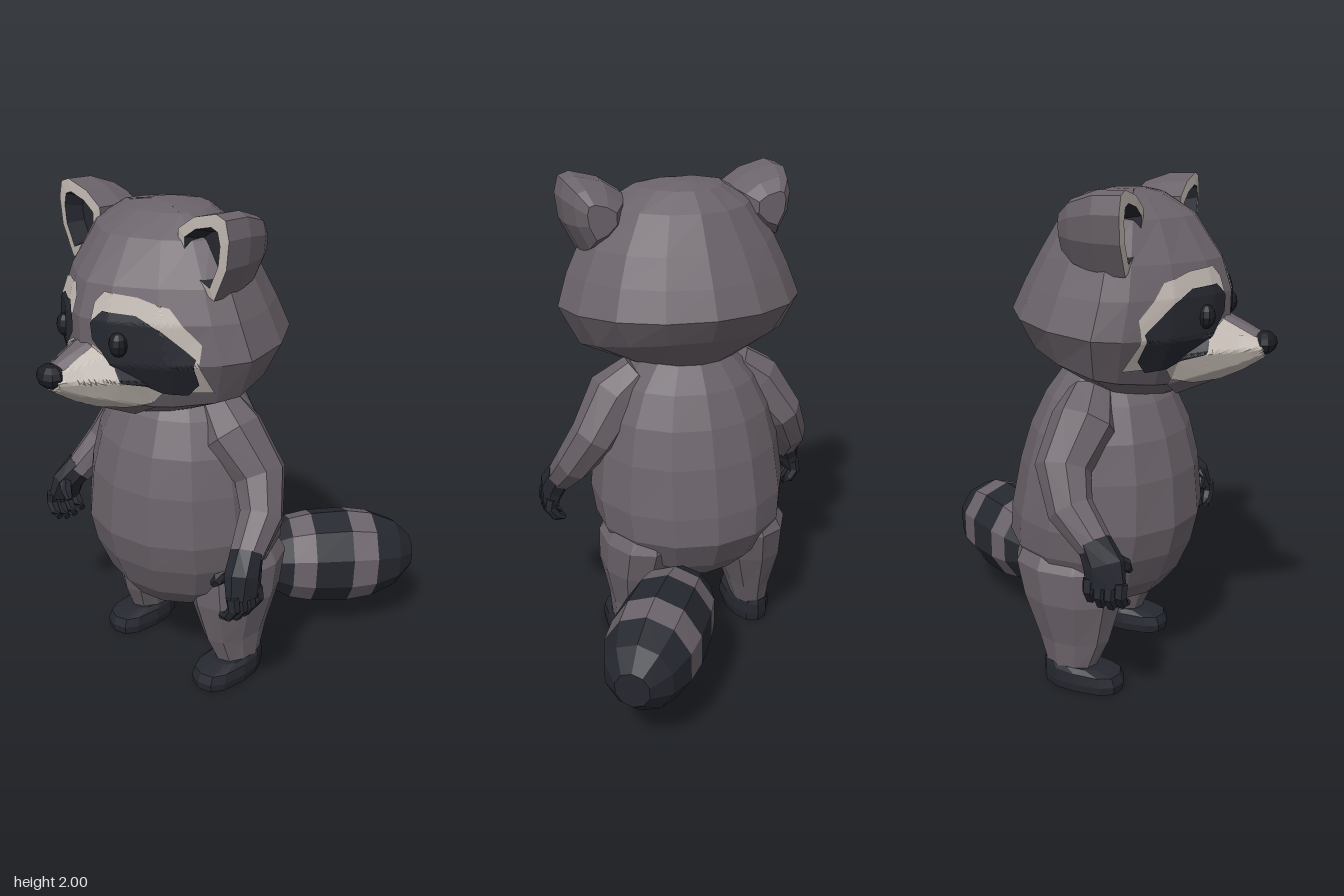
import * as THREE from 'three';

const mat = (name, color) => {
  const m = new THREE.MeshStandardMaterial({ color });
  m.name = name;
  return m;
};
const V = (p) => new THREE.Vector3(...p);
const spow = (v, e) => Math.sign(v) * Math.abs(v) ** e;

// Closed, faceted skin over rings of points; bands[i] is the material index between ring i and i+1
function loft(rings, bands = []) {
  const tris = [];
  const n = rings[0].length;
  const centre = (r) => [0, 1, 2].map((k) => r.reduce((s, p) => s + p[k], 0) / n);
  const c0 = centre(rings[0]), c1 = centre(rings.at(-1));
  const add = (m, a, b, c) => tris.push({ m: m ?? 0, t: [a, b, c] });
  for (let j = 0; j < n; j++) {
    const k = (j + 1) % n;
    add(bands[0], c0, rings[0][k], rings[0][j]);
    for (let i = 0; i + 1 < rings.length; i++) {
      const [a, b] = [rings[i], rings[i + 1]];
      add(bands[i], a[j], a[k], b[k]);
      add(bands[i], a[j], b[k], b[j]);
    }
    add(bands.at(-1), c1, rings.at(-1)[j], rings.at(-1)[k]);
  }
  // Turn the skin outward whichever way the rings run
  const o = V(c0);
  const vol = tris.reduce((s, { t }) => {
    const [a, b, c] = t.map((p) => V(p).sub(o));
    return s + a.dot(b.cross(c));
  }, 0);
  tris.sort((p, q) => p.m - q.m);
  const pos = tris.flatMap(({ t }) => (vol < 0 ? [t[0], t[2], t[1]] : t).flat());
  const geo = new THREE.BufferGeometry();
  geo.setAttribute('position', new THREE.Float32BufferAttribute(pos, 3));
  tris.forEach(({ m }, i) => {
    const g = geo.groups.at(-1);
    if (g && g.materialIndex === m) g.count += 3;
    else geo.addGroup(i * 3, 3, m);
  });
  geo.computeVertexNormals();
  return geo;
}

// Level ring: half width w, front and back z, front and back height
function level(n, w, zf, zb, yf, yb = yf, cx = 0, zc = (zf + zb) / 2, e = 1) {
  return Array.from({ length: n }, (_, i) => {
    const a = (i / n) * Math.PI * 2, s = Math.sin(a), c = Math.cos(a);
    const x = cx + w * (c > 0 ? spow(s, e) : s);
    const z = c > 0 ? zc + (zf - zc) * c ** e : zc + (zc - zb) * c;
    return [x, yb + ((yf - yb) * (z - zb)) / (zf - zb), z];
  });
}

// Rings square to a path; each point is [x, y, z, radius, second radius]
function limb(path, n = 8, sx = 1) {
  const pts = path.map(([x, y, z]) => V([x * sx, y, z]));
  return path.map(([, , , r, r2 = r], i) => {
    const dir = pts[Math.min(i + 1, pts.length - 1)].clone().sub(pts[Math.max(i - 1, 0)]).normalize();
    const ref = Math.abs(dir.y) > 0.6 ? V([0, 0, 1]) : V([0, 1, 0]);
    const u = dir.clone().cross(ref).normalize(), v = u.clone().cross(dir);
    return Array.from({ length: n }, (_, j) => {
      const a = ((j + 0.5) / n) * Math.PI * 2;
      return pts[i].clone().addScaledVector(u, r * Math.cos(a)).addScaledVector(v, r2 * Math.sin(a)).toArray();
    });
  });
}

// Thin painted patch: a flat outline split finely and laid on the targets from the front
function patch(outline, sx, lift, targets) {
  const flat = new THREE.ShapeGeometry(
    new THREE.Shape(outline.map(([x, y]) => new THREE.Vector2(x * sx, y)))).toNonIndexed();
  const p = flat.attributes.position;
  let tris = [];
  for (let i = 0; i < p.count; i += 3) tris.push([0, 1, 2].map((k) => new THREE.Vector3().fromBufferAttribute(p, i + k)));
  for (let s = 0; s < 4; s++) {
    tris = tris.flatMap(([a, b, c]) => {
      const ab = a.clone().lerp(b, 0.5), bc = b.clone().lerp(c, 0.5), ca = c.clone().lerp(a, 0.5);
      return [[a, ab, ca], [ab, b, bc], [ca, bc, c], [ab, bc, ca]];
    });
  }
  const ray = new THREE.Raycaster(), down = V([0, 0, -1]), seen = new Map();
  const lay = (q) => {
    const key = q.x.toFixed(4) + ',' + q.y.toFixed(4);
    if (!seen.has(key)) {
      ray.set(V([q.x, q.y, 3]), down);
      const hit = ray.intersectObjects(targets)[0];
      seen.set(key, hit ? hit.point.clone().addScaledVector(hit.face.normal, lift).toArray() : null);
    }
    return seen.get(key);
  };
  const pos = tris.map((t) => t.map(lay)).filter((t) => t.every(Boolean)).flat(2);
  const geo = new THREE.BufferGeometry();
  geo.setAttribute('position', new THREE.Float32BufferAttribute(pos, 3));
  geo.computeVertexNormals();
  return geo;
}

export function createModel() {
  const grey = mat('grey fur', 0x6b636a);
  const dark = mat('dark fur', 0x262830);
  const light = mat('light fur', 0xbfb6af);
  const black = mat('eye black', 0x1c1d24);
  const model = new THREE.Group();
  model.name = 'raccoon';
  const add = (name, geo, material) => {
    const m = new THREE.Mesh(geo, material);
    m.name = name;
    model.add(m);
    return m;
  };

  // Body
  add('body', loft([
    [0.30, 0.1, 0.22, -0.02], [0.36, 0.24, 0.35, -0.13], [0.45, 0.34, 0.42, -0.22],
    [0.58, 0.4, 0.475, -0.285], [0.7, 0.415, 0.5, -0.275], [0.9, 0.39, 0.48, -0.235],
    [1.05, 0.355, 0.44, -0.19], [1.18, 0.29, 0.38, -0.13], [1.28, 0.2, 0.3, -0.06],
  ].map(([y, w, f, b]) => level(14, w, f, b, y))), grey);

  // Head: pointed toward the face, round behind
  const head = add('head', loft([
    [0.2, 0.37, -0.06, 1.19, 1.28], [0.42, 0.5, -0.19, 1.26, 1.42], [0.5, 0.6, -0.25, 1.46, 1.52],
    [0.455, 0.6, -0.2, 1.61, 1.63], [0.4, 0.56, -0.14, 1.73, 1.74],
    [0.3, 0.45, -0.06, 1.88, 1.88], [0.18, 0.33, 0.02, 1.95, 1.95], [0.06, 0.22, 0.12, 1.97, 1.97],
  ].map(([w, f, b, yf, yb]) => level(16, w, f, b, yf, yb, 0, Math.min(0.25, (f + b) / 2 + 0.06), 1.4))), grey);

  // Muzzle: narrower along the bridge
  const muzzle = add('muzzle', loft([
    [0.42, 0.24, 1.2, 1.56], [0.56, 0.17, 1.265, 1.54], [0.66, 0.105, 1.315, 1.495], [0.74, 0.06, 1.37, 1.455],
  ].map(([z, w, lo, hi]) => Array.from({ length: 10 }, (_, i) => {
    const a = (i / 10) * Math.PI * 2, s = Math.sin(a);
    return [w * Math.cos(a) * (1 - 0.4 * Math.max(0, s)), (lo + hi) / 2 + ((hi - lo) / 2) * s, z];
  }))), grey);

  const ball = (name, material, p, s) => {
    const m = add(name, new THREE.SphereGeometry(1, 10, 6).toNonIndexed(), material);
    m.geometry.scale(...s).translate(...p).computeVertexNormals();
  };
  ball('nose', black, [0, 1.422, 0.733], [0.063, 0.045, 0.05]);

  // Face markings, half outlines
  const browLine = [[0.39, 1.36], [0.39, 1.55], [0.29, 1.67], [0.19, 1.7], [0.08, 1.71], [0.05, 1.67],
    [0.05, 1.61], [0.2, 1.55], [0.33, 1.36]];
  const maskLine = [[0.2, 1.64], [0.09, 1.645], [0.05, 1.6], [0.055, 1.54], [0.11, 1.48], [0.17, 1.4],
    [0.25, 1.355], [0.32, 1.35], [0.365, 1.4], [0.38, 1.5], [0.28, 1.6]];
  const cheekLine = [[0, 1.39], [0.045, 1.45], [0.05, 1.52], [0.11, 1.49], [0.18, 1.4], [0.26, 1.36],
    [0.2, 1.3], [0.12, 1.275], [0, 1.285]];
  const earLine = [[0.22, 1.92], [0.3, 1.972], [0.41, 2], [0.455, 1.985], [0.472, 1.92], [0.46, 1.82],
    [0.4, 1.7], [0.3, 1.74], [0.22, 1.82]];

  for (const sx of [1, -1]) {
    const side = sx > 0 ? 'left' : 'right';
    add(side + 'Brow', patch(browLine, sx, 0.004, [head, muzzle]), light).material.side = THREE.DoubleSide;
    add(side + 'Cheek', patch(cheekLine, sx, 0.004, [head, muzzle]), light);
    const mask = add(side + 'Mask', patch(maskLine, sx, 0.008, [head, muzzle]), dark);
    mask.material.side = THREE.DoubleSide;
    ball(side + 'Eye', black, [0.155 * sx, 1.535, 0.55], [0.037, 0.046, 0.035]);

    // Ear: rounded back, light rim, dark hollow
    add(side + 'Ear', loft([[0.07, 0.45], [0.12, 0.75], [0.22, 0.98], [0.325, 1], [0.33, 0.7], [0.26, 0.55]]
      .map(([z, k]) => earLine.map(([x, y]) => [sx * (0.345 + (x - 0.345) * k), 1.845 + (y - 1.845) * k, z])),
    [0, 0, 0, 1, 2]), [grey, light, dark]);

    // Arm bent forward, with hand and fingers
    add(side + 'Arm', loft(limb([[0.2, 1.21, 0.12, 0.09], [0.3, 1.12, 0.13, 0.12, 0.13], [0.41, 0.97, 0.09, 0.095, 0.11],
      [0.48, 0.84, 0.15, 0.08, 0.09], [0.52, 0.71, 0.28, 0.062, 0.065]], 8, sx)), grey);
    add(side + 'Hand', loft(limb([[0.515, 0.74, 0.26, 0.062, 0.065], [0.545, 0.67, 0.31, 0.058, 0.08],
      [0.565, 0.59, 0.325, 0.035, 0.08]], 8, sx)), dark);
    for (let i = 0; i < 4; i++) {
      const z = 0.262 + i * 0.041, y = i % 3 ? 0 : 0.015;
      add(side + 'Finger', loft(limb([[0.568, 0.62, z, 0.026], [0.577, 0.56 + y, z, 0.025],
        [0.55, 0.52 + y, z, 0.023], [0.515, 0.508 + y, z + 0.005, 0.015]], 6, sx)), dark);
    }
    add(side + 'Thumb', loft(limb([[0.53, 0.69, 0.34, 0.03], [0.48, 0.655, 0.37, 0.026], [0.455, 0.625, 0.375, 0.015]], 6, sx)), dark);

    // Leg and foot
    add(side + 'Leg', loft([[0.07, 0.075, 0.17, -0.03, 0.28], [0.2, 0.1, 0.225, -0.08, 0.265],
      [0.38, 0.155, 0.27, -0.15, 0.25], [0.52, 0.17, 0.28, -0.19, 0.235], [0.65, 0.1, 0.2, -0.14, 0.22]]
      .map(([y, w, f, b, cx]) => level(10, w, f, b, y, y, cx * sx))), grey);
    add(side + 'Foot', loft([[0, 0.09, 0.29, -0.045, 0], [0.035, 0.096, 0.295, -0.05, 0.035],
      [0.07, 0.09, 0.28, -0.05, 0.085], [0.09, 0.075, 0.2, -0.045, 0.105]]
      .map(([yf, w, f, b, yb]) => level(12, w, f, b, yf, yb, 0.28 * sx, (f + b) / 2, 0.75))), dark);
  }

  // Banded tail swinging to the left
  add('tail', loft(limb([[0, 0.05, 0.05], [0.1, 0.125, 0.12], [0.25, 0.17, 0.185], [0.38, 0.185, 0.205],
    [0.6, 0.19, 0.212], [0.75, 0.18, 0.195], [0.9, 0.14, 0.15], [1, 0.07, 0.075]]
    .map(([t, h, v]) => [0.09 + 0.42 * t, 0.36 - 0.02 * t, -0.16 - 0.6 * t, h, v]), 10),
  [1, 1, 0, 1, 0, 1, 1]), [grey, dark]);

  return model;
}
